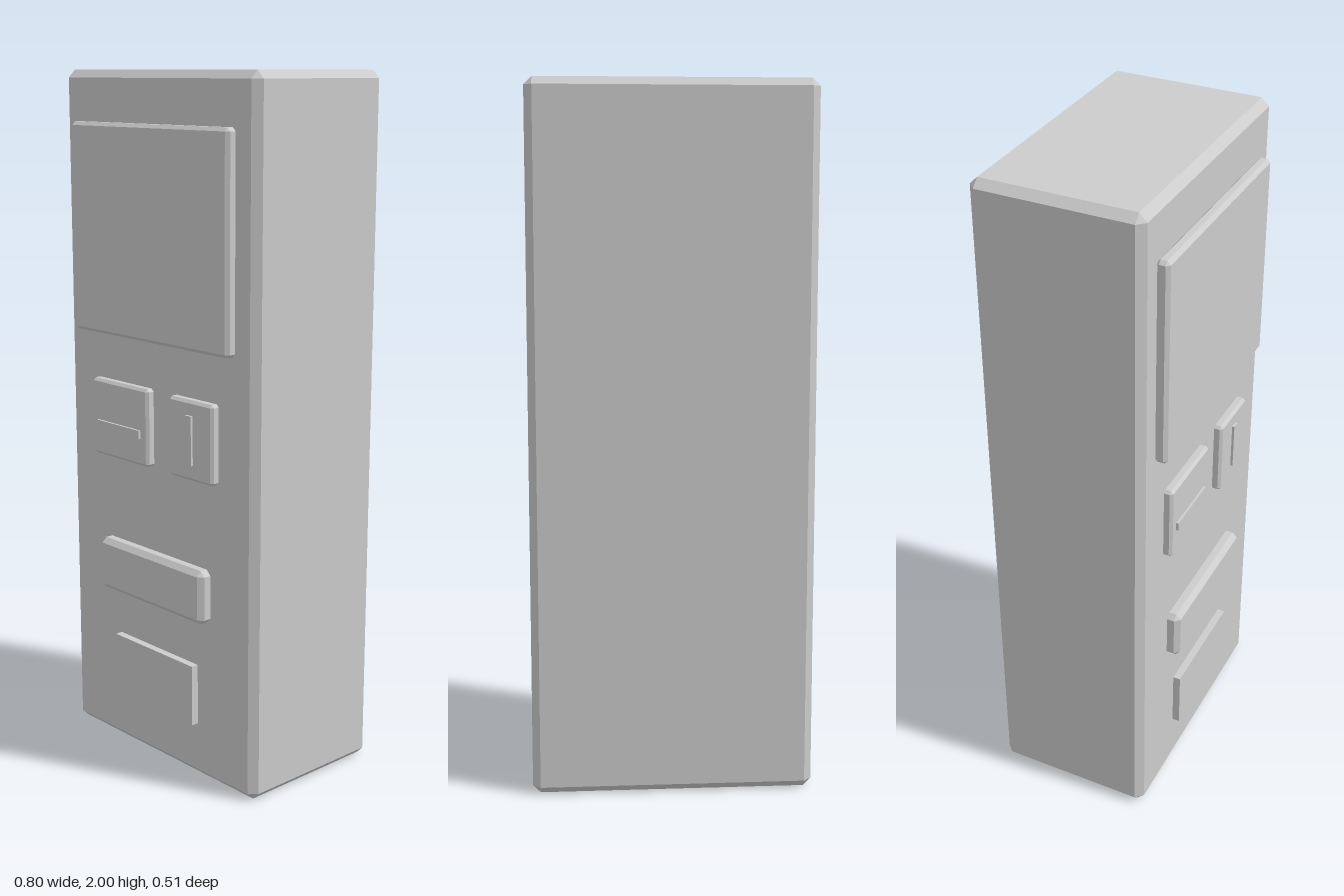
import * as THREE from 'three';
import { ConvexGeometry } from 'three/addons/geometries/ConvexGeometry.js';

// Box with all twelve edges cut at 45 degrees
function chamferBox(w, h, d, c) {
  const points = [];
  for (const sx of [-1, 1]) for (const sy of [-1, 1]) for (const sz of [-1, 1]) {
    const x = w / 2, y = h / 2, z = d / 2;
    points.push(
      new THREE.Vector3(sx * x, sy * (y - c), sz * (z - c)),
      new THREE.Vector3(sx * (x - c), sy * y, sz * (z - c)),
      new THREE.Vector3(sx * (x - c), sy * (y - c), sz * z)
    );
  }
  return new ConvexGeometry(points);
}

export function createModel() {
  const group = new THREE.Group();
  const grey = new THREE.MeshStandardMaterial({ color: 0xcccccc });
  grey.name = 'light grey';

  // Adds a block from its limits on each axis; chamfer 0 gives a plain box
  function block(name, [x0, x1], [y0, y1], [z0, z1], chamfer = 0) {
    const size = [x1 - x0, y1 - y0, z1 - z0];
    const geometry = chamfer ? chamferBox(...size, chamfer) : new THREE.BoxGeometry(...size);
    const mesh = new THREE.Mesh(geometry, grey);
    mesh.name = name;
    mesh.position.set((x0 + x1) / 2, (y0 + y1) / 2, (z0 + z1) / 2);
    group.add(mesh);
  }

  // Cabinet
  block('cabinet', [-0.4, 0.4], [0, 2], [-0.257, 0.22], 0.022);

  // Display on the upper front
  block('screen', [-0.33, 0.328], [1.26, 1.857], [0.217, 0.255], 0.01);

  // Two reader panels, each with a raised bar
  block('leftReader', [-0.264, -0.014], [0.895, 1.122], [0.21, 0.245], 0.008);
  block('leftReaderBar', [-0.235, -0.045], [0.975, 1.0], [0.235, 0.252]);
  block('rightReader', [0.078, 0.258], [0.895, 1.122], [0.21, 0.245], 0.008);
  block('rightReaderBar', [0.155, 0.18], [0.94, 1.08], [0.235, 0.252]);

  // Tray and lower plate
  block('tray', [-0.228, 0.224], [0.485, 0.642], [0.2, 0.257], 0.015);
  block('lowerPlate', [-0.174, 0.17], [0.165, 0.345], [0.21, 0.242]);

  return group;
}
